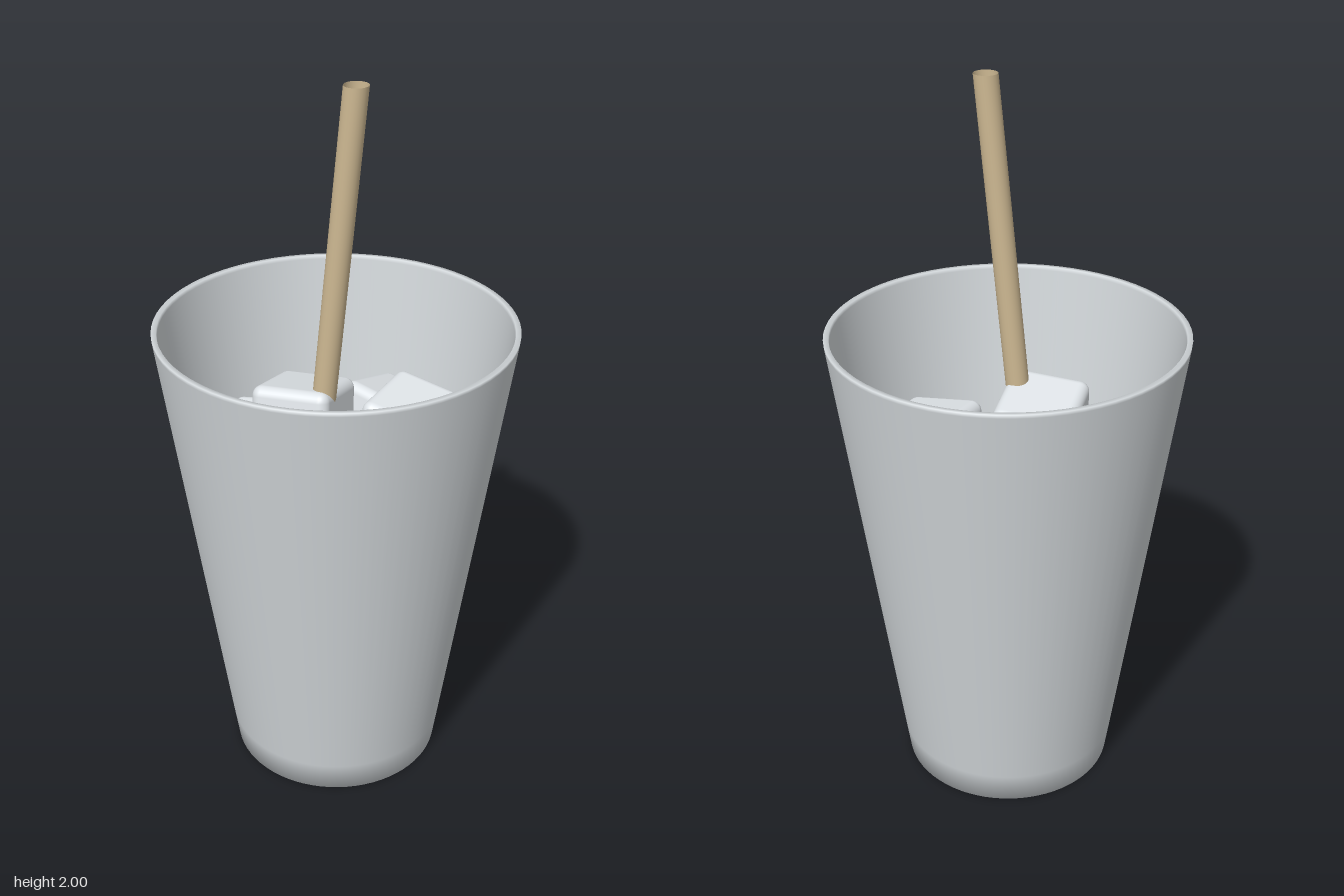
import * as THREE from 'three';
import { RoundedBoxGeometry } from 'three/addons/geometries/RoundedBoxGeometry.js';

function material(name, color, side = THREE.FrontSide) {
  const m = new THREE.MeshStandardMaterial({ color, side });
  m.name = name;
  return m;
}

export function createModel() {
  const model = new THREE.Group();
  model.name = 'icedCup';

  const cupGrey = material('cupGrey', 0xd2d7da);
  const iceWhite = material('iceWhite', 0xe2e7eb);
  const strawTan = material('strawTan', 0xcdb892, THREE.DoubleSide);

  function add(name, geometry, mat, parent = model) {
    const mesh = new THREE.Mesh(geometry, mat);
    mesh.name = name;
    parent.add(mesh);
    return mesh;
  }

  // Cup: one closed wall profile, outside going up, inside going down
  const profile = [
    [0, 0], [0.24, 0], [0.297, 0], [0.31, 0.09], [0.483, 1.33],
    [0.484, 1.34], [0.47, 1.34], [0.468, 1.33],
    [0.3, 0.11], [0.285, 0.03], [0.23, 0.03], [0, 0.03],
  ].map(([r, y]) => new THREE.Vector2(r, y));
  add('cup', new THREE.LatheGeometry(profile, 72), cupGrey);

  // Straw: hollow tube leaning to +x, cut level at both ends
  const bottom = 0.04, top = 2, lean = 0.0985;
  const tube = new THREE.CylinderGeometry(0.032, 0.032, top - bottom, 24, 1, true);
  tube.translate(0, (top + bottom) / 2, 0);
  const shear = new THREE.Matrix4().set(
    1, lean, 0, 0.07 - lean * top,
    0, 1, 0, 0,
    0, 0, 1, 0.058,
    0, 0, 0, 1);
  add('straw', tube.applyMatrix4(shear), strawTan);

  // Ice cubes: position, then tilt x, yaw, tilt z
  const ice = new THREE.Group();
  ice.name = 'iceCubes';
  model.add(ice);
  const cube = new RoundedBoxGeometry(0.222, 0.222, 0.222, 4, 0.028);
  const cubes = [
    [-0.085, 1.05, 0.025, -0.22, -0.06, 0.06],
    [0.19, 1.01, -0.08, 0.12, -0.22, -0.13],
    [0.075, 0.93, -0.235, -0.2, -0.37, -0.2],
    [-0.22, 0.9, -0.04, 0.12, 0.08, 0.05],
    [-0.005, 0.86, 0.19, -0.22, 0.57, 0],
    [-0.01, 0.88, -0.1, -0.08, -0.08, 0.05],
  ];
  cubes.forEach(([x, y, z, tiltX, yaw, tiltZ], i) => {
    const mesh = add(`iceCube${i + 1}`, cube, iceWhite, ice);
    mesh.position.set(x, y, z);
    mesh.rotation.set(tiltX, yaw, tiltZ, 'ZXY');
  });

  return model;
}
